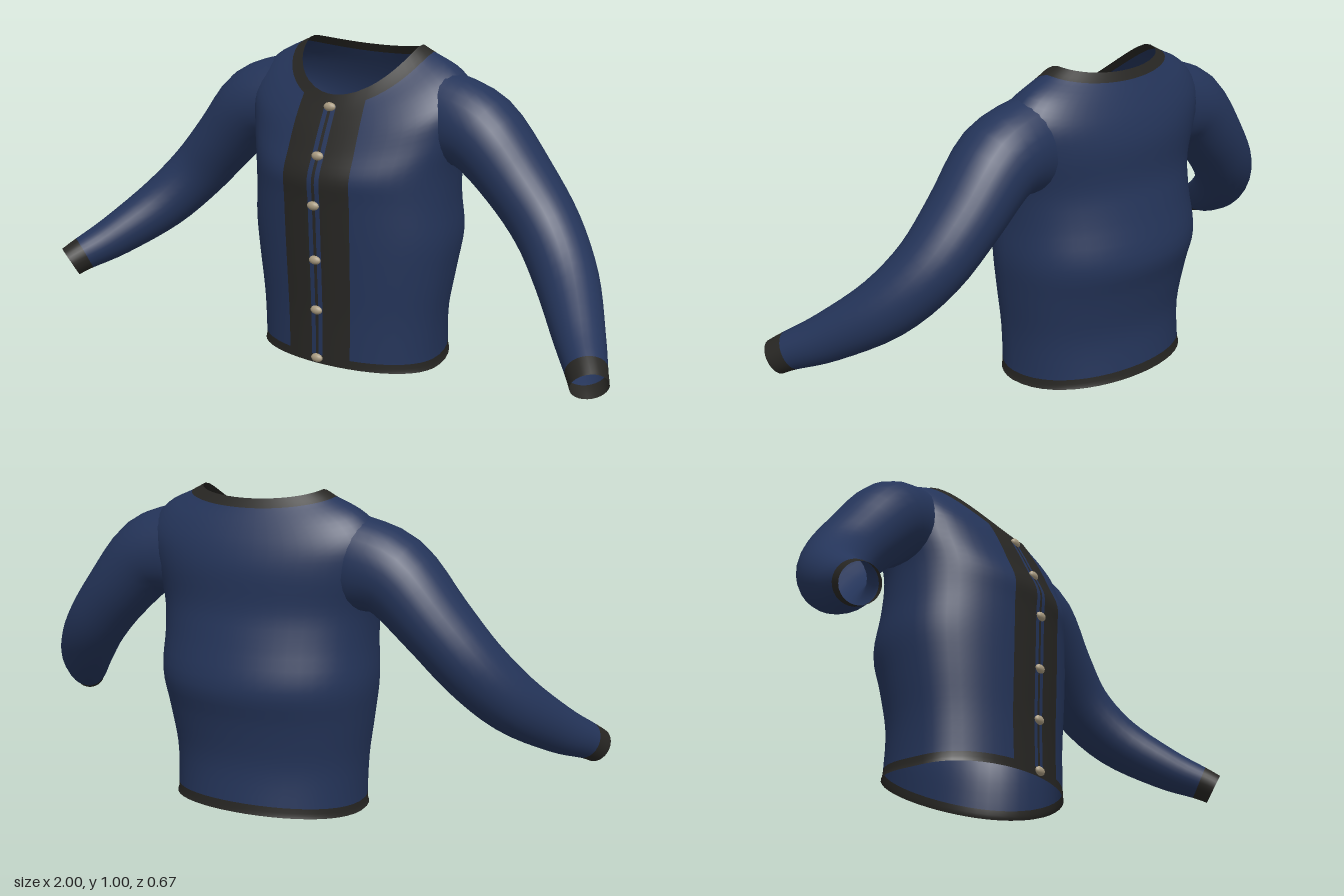
import * as THREE from 'three';

const blue = new THREE.MeshStandardMaterial({ color: 0x243459, side: THREE.DoubleSide });
blue.name = 'navyKnit';
const trim = new THREE.MeshStandardMaterial({ color: 0x272623, side: THREE.DoubleSide });
trim.name = 'charcoalTrim';
const metal = new THREE.MeshStandardMaterial({ color: 0xa89a80 });
metal.name = 'buttonMetal';

// Torso rings: half width, side z, side y, front z, front y, back z, back y
const TORSO = [
  [0.315, -0.03, 0.0, 0.18, 0.012, -0.31, 0.03],
  [0.31, -0.03, 0.03, 0.18, 0.04, -0.305, 0.06],
  [0.315, -0.03, 0.16, 0.18, 0.17, -0.295, 0.18],
  [0.335, -0.04, 0.3, 0.185, 0.3, -0.315, 0.31],
  [0.35, -0.05, 0.42, 0.19, 0.42, -0.34, 0.42],
  [0.345, -0.05, 0.54, 0.195, 0.54, -0.31, 0.55],
  [0.35, -0.06, 0.65, 0.198, 0.615, -0.287, 0.65],
  [0.375, -0.08, 0.76, 0.165, 0.69, -0.285, 0.76],
  [0.385, -0.09, 0.86, 0.135, 0.755, -0.27, 0.83],
  [0.33, -0.1, 0.935, 0.115, 0.795, -0.245, 0.89],
  [0.24, -0.1, 0.98, 0.1, 0.825, -0.215, 0.945],
  [0.2, -0.1, 1.0, 0.085, 0.855, -0.2, 0.972],
];

// Sleeve rings: centre x, y, z, radius upward, radius sideways
const SLEEVE = [
  [0.3, 0.785, -0.09, 0.145, 0.12],
  [0.42, 0.755, -0.083, 0.127, 0.129],
  [0.55, 0.625, -0.08, 0.108, 0.12],
  [0.66, 0.5, -0.055, 0.1, 0.106],
  [0.76, 0.385, 0.025, 0.092, 0.092],
  [0.86, 0.285, 0.16, 0.073, 0.073],
  [0.925, 0.232, 0.257, 0.058, 0.058],
  [0.952, 0.207, 0.297, 0.053, 0.053],
];

// Smooth interpolation through a list of number rows
function sample(rows, s) {
  const i = Math.min(Math.floor(s), rows.length - 2), t = s - i;
  const at = (k) => rows[Math.max(0, Math.min(rows.length - 1, k))];
  return rows[i].map((b, k) => {
    const a = at(i - 1)[k], c = at(i + 1)[k], d = at(i + 2)[k];
    return b + 0.5 * t * (c - a + t * (2 * a - 5 * b + 4 * c - d + t * (3 * (b - c) + d - a)));
  });
}

// Closed loft; partOf(column, row) names the part each quad belongs to
function loft(cols, rows, point, partOf, materials) {
  const pos = [], all = [], parts = {};
  for (let j = 0; j <= rows; j++)
    for (let i = 0; i < cols; i++) pos.push(...point(i, j));
  for (let j = 0; j < rows; j++)
    for (let i = 0; i < cols; i++) {
      const n = (i + 1) % cols;
      const a = j * cols + i, b = j * cols + n, c = b + cols, d = a + cols;
      const quad = [a, b, c, a, c, d];
      all.push(...quad);
      (parts[partOf(i, j)] ??= []).push(...quad);
    }
  const whole = new THREE.BufferGeometry();
  whole.setAttribute('position', new THREE.Float32BufferAttribute(pos, 3));
  whole.setIndex(all);
  whole.computeVertexNormals();
  const group = new THREE.Group();
  for (const [name, index] of Object.entries(parts)) {
    const g = whole.clone();
    g.setIndex(index);
    const mesh = new THREE.Mesh(g.toNonIndexed(), materials[name]);
    mesh.name = name;
    group.add(mesh);
  }
  return group;
}

function makeTorso() {
  // Column edges across the button band, then evenly round the body
  const band = [-0.11, -0.075, -0.045, -0.02, -0.005, 0.005, 0.02, 0.045, 0.075, 0.11];
  const around = 44, step = 4, last = (TORSO.length - 1) * step;
  const cols = band.length + around - 1;
  const point = (i, j) => {
    const [w, zs, ys, zf, yf, zb, yb] = sample(TORSO, j / step);
    const swell = 1 + 0.09 * Math.sin(Math.PI * j / last);
    const edge = Math.asin(band[9] * swell / w);
    const t = i < band.length
      ? Math.asin(band[i] * swell / w)
      : edge + (2 * Math.PI - 2 * edge) * (i - band.length + 1) / around;
    const c = Math.cos(t), k = Math.abs(c);
    const z = zs + ((c > 0 ? zf : zb) - zs) * k ** 0.88;
    const y = ys + ((c > 0 ? yf : yb) - ys) * k ** 1.3;
    return [w * Math.sin(t), y, z];
  };
  const partOf = (i, j) => {
    if (j < step) return 'hem';
    if (j >= last - step) return 'collar';
    if (i === 3 || i === 5) return 'frontFacing';
    return i < band.length - 1 ? 'buttonBand' : 'body';
  };
  const torso = loft(cols, last, point, partOf,
    { hem: trim, collar: trim, buttonBand: trim, frontFacing: blue, body: blue });
  torso.name = 'torso';
  return torso;
}

function makeSleeve(side) {
  const cols = 28, step = 4, last = (SLEEVE.length - 1) * step;
  const centre = (s) => new THREE.Vector3(...sample(SLEEVE, s).slice(0, 3));
  const point = (i, j) => {
    const s = j / step, r = sample(SLEEVE, s);
    const along = centre(Math.min(last / step, s + 0.3))
      .sub(centre(Math.max(0, s - 0.3))).normalize();
    const across = new THREE.Vector3(0, 0, 1).addScaledVector(along, -along.z).normalize();
    const up = across.clone().cross(along);
    const a = side * i / cols * Math.PI * 2;
    const p = centre(s).addScaledVector(up, r[3] * Math.cos(a))
      .addScaledVector(across, r[4] * Math.sin(a));
    return [side * p.x, p.y, p.z];
  };
  const sleeve = loft(cols, last, point,
    (i, j) => (j >= last - step ? 'cuff' : 'arm'), { cuff: trim, arm: blue });
  sleeve.name = side > 0 ? 'leftSleeve' : 'rightSleeve';
  return sleeve;
}

// Front surface depth at a given height
function frontZ(y) {
  const k = Math.max(1, TORSO.findIndex((r) => r[4] >= y));
  const a = TORSO[k - 1], b = TORSO[k];
  return a[3] + (b[3] - a[3]) * (y - a[4]) / (b[4] - a[4]);
}

export function createModel() {
  const model = new THREE.Group();
  model.name = 'cardigan';
  model.add(makeTorso(), makeSleeve(1), makeSleeve(-1));

  // Buttons down the front
  const buttonShape = new THREE.SphereGeometry(1, 14, 10);
  for (const y of [0.03, 0.19, 0.355, 0.53, 0.68, 0.82]) {
    const button = new THREE.Mesh(buttonShape, metal);
    button.name = 'button';
    button.scale.set(0.021, 0.014, 0.012);
    button.position.set(0, y, frontZ(y) + 0.002);
    model.add(button);
  }
  return model;
}
